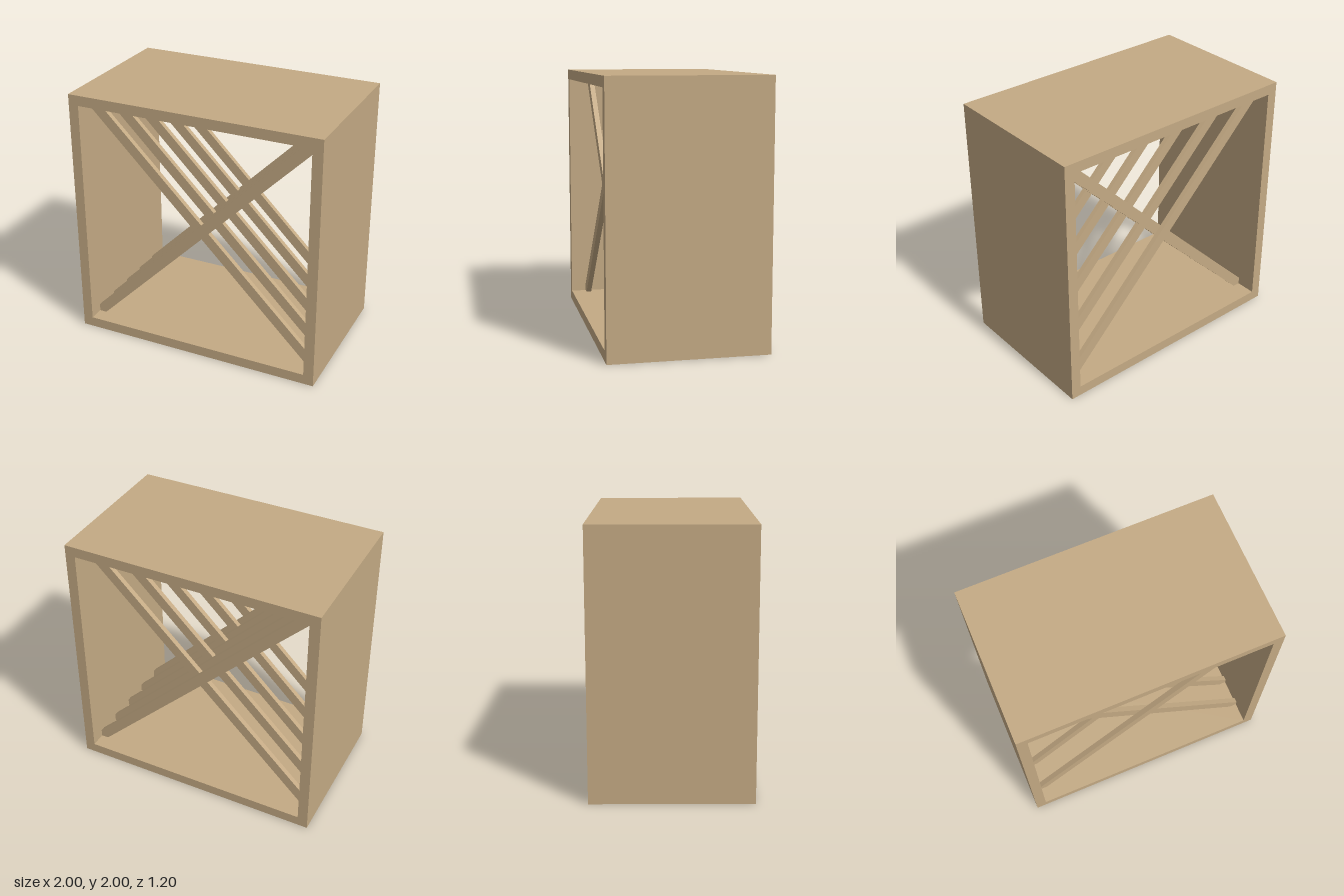
import * as THREE from 'three';

const OUTER = 1, INNER = 0.92, DEPTH = 1.2;
const BAR_CUT = 0.058;   // corner offset that gives the slats their width
const BAR_DEPTH = 0.04;
const LAYERS = 5, STEP = 0.22;

function polygon(points) {
  return new THREE.Shape(points.map(([x, y]) => new THREE.Vector2(x, y)));
}

const square = (s) => [[-s, -s], [s, -s], [s, s], [-s, s]];

// Extrudes a shape along z, centred on z = 0
function extrude(shape, depth) {
  const geometry = new THREE.ExtrudeGeometry(shape, { depth, bevelEnabled: false });
  return geometry.translate(0, 0, -depth / 2);
}

export function createModel() {
  const group = new THREE.Group();
  group.name = 'wineRackCube';
  const wood = new THREE.MeshStandardMaterial({ color: 0xc4aa84 });
  wood.name = 'light wood';

  function add(name, geometry, z = 0) {
    const mesh = new THREE.Mesh(geometry, wood);
    mesh.name = name;
    mesh.position.set(0, 1, z);
    group.add(mesh);
  }

  // Open box: four panels with front and back left open
  const frame = polygon(square(OUTER));
  frame.holes.push(polygon(square(INNER).reverse()));
  add('frame', extrude(frame, DEPTH));

  // Diagonal slats, cut to fit into the inner corners
  const a = INNER, b = INNER - BAR_CUT;
  const rising = [[-a, -a], [-b, -a], [a, b], [a, a], [b, a], [-a, -b]];
  const falling = rising.map(([x, y]) => [-x, y]).reverse();
  const risingSlat = extrude(polygon(rising), BAR_DEPTH);
  const fallingSlat = extrude(polygon(falling), BAR_DEPTH);

  // Crossed pairs, spaced evenly from back to front
  for (let i = 0; i < LAYERS; i++) {
    const z = (i - (LAYERS - 1) / 2) * STEP;
    add('risingSlat', risingSlat, z + BAR_DEPTH / 2);
    add('fallingSlat', fallingSlat, z - BAR_DEPTH / 2);
  }
  return group;
}
